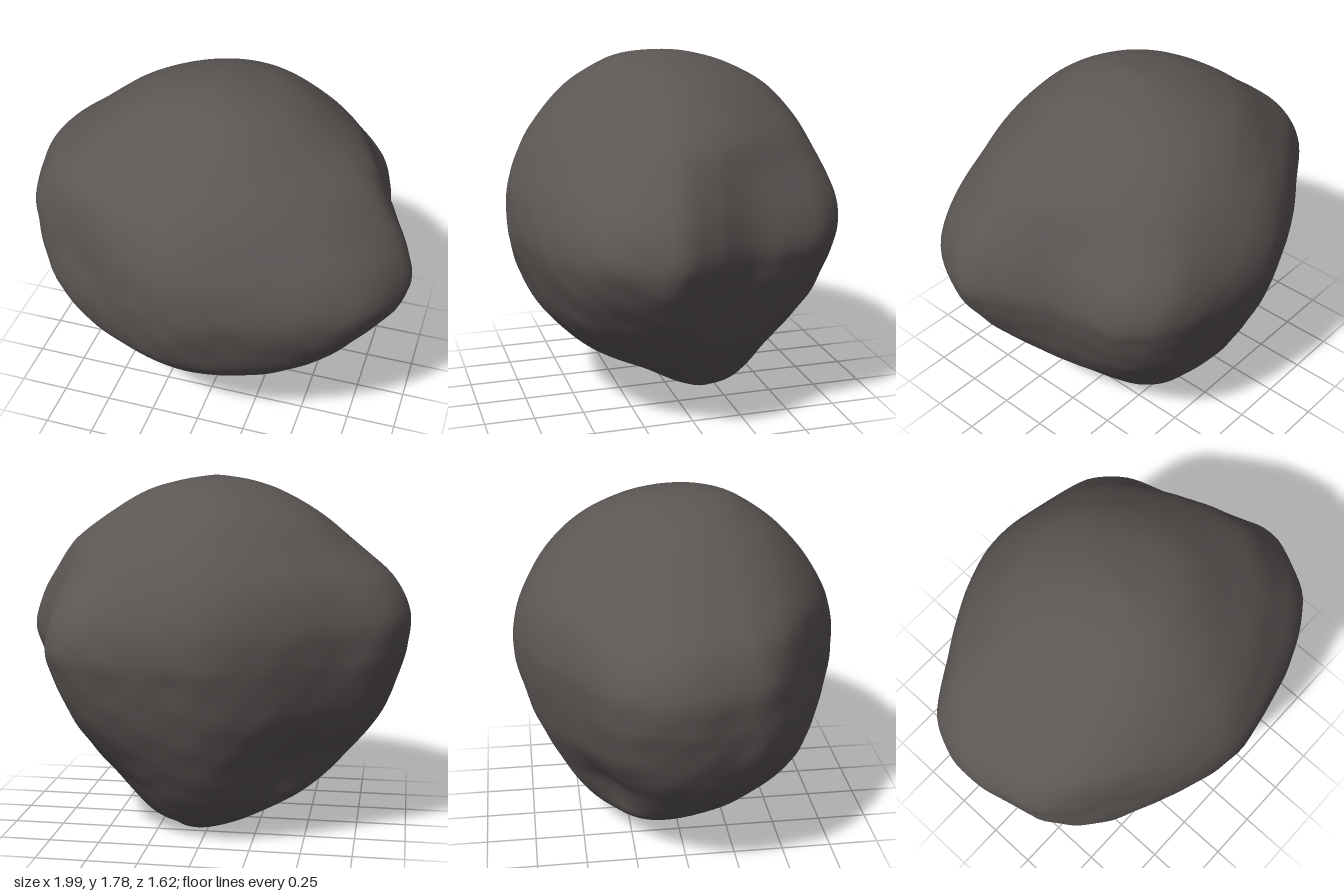
import * as THREE from 'three';

// Plan outline of the widest section (x, z), counterclockwise from above
const OUTLINE = [
  [-0.05, -0.815], [-0.345, -0.72], [-0.666, -0.524], [-0.88, -0.385], [-0.976, -0.214],
  [-1, -0.03], [-0.95, 0.19], [-0.906, 0.32], [-0.773, 0.465], [-0.505, 0.626],
  [-0.24, 0.76], [0, 0.815], [0.297, 0.77], [0.62, 0.67], [0.83, 0.535], [0.965, 0.33],
  [1, 0.2], [0.91, 0], [0.805, -0.19], [0.76, -0.374], [0.7, -0.56], [0.564, -0.7], [0.35, -0.765],
];

// Section extents by height: y, xMin, xMax, zMin, zMax
const LEVELS = [
  [0, 0.06, 0.06, -0.18, -0.18],
  [0.02, -0.06, 0.14, -0.26, -0.09],
  [0.05, -0.16, 0.20, -0.31, -0.02],
  [0.1, -0.27, 0.30, -0.39, 0.07],
  [0.2, -0.47, 0.42, -0.48, 0.25],
  [0.3, -0.61, 0.53, -0.55, 0.45],
  [0.4, -0.71, 0.64, -0.61, 0.57],
  [0.55, -0.83, 0.78, -0.685, 0.69],
  [0.7, -0.905, 0.885, -0.74, 0.755],
  [0.85, -0.955, 0.97, -0.78, 0.80],
  [0.97, -0.985, 1.0, -0.805, 0.815],
  [1.13, -0.99, 0.96, -0.795, 0.80],
  [1.3, -0.90, 0.86, -0.74, 0.735],
  [1.45, -0.72, 0.745, -0.65, 0.64],
  [1.6, -0.53, 0.53, -0.51, 0.50],
  [1.7, -0.35, 0.355, -0.33, 0.36],
  [1.75, -0.20, 0.19, -0.18, 0.255],
  [1.775, -0.06, 0.05, -0.05, 0.12],
  [1.78, 0, 0, 0.03, 0.03],
];

// Broad swellings and hollows: plan direction (degrees from +x to +z), height, amount
const SWELLS = [
  [135, 1.48, 0.05],
  [135, 1.15, -0.03],
  [135, 0.7, 0.05],
  [135, 0.15, -0.03],
  [-45, 1.5, -0.07],
  [-45, 1.08, 0.03],
  [-45, 0.65, 0.03],
  [45, 1.5, -0.05],
  [-135, 0.36, -0.18],
];

const SIDES = 128;
const RINGS = 108;

// Smooth curve through one pair of extents
function extentCurve(a, b) {
  return new THREE.CatmullRomCurve3(
    LEVELS.map((l) => new THREE.Vector3(l[0], l[a], l[b])), false, 'catmullrom', 0.5);
}

function swell(angle, y) {
  let sum = 0;
  for (const [degrees, height, amount] of SWELLS) {
    const turn = angle - THREE.MathUtils.degToRad(degrees);
    const da = Math.atan2(Math.sin(turn), Math.cos(turn)) / 0.45;
    const dy = (y - height) / 0.24;
    sum += amount * Math.exp(-da * da - dy * dy);
  }
  return sum;
}

// Gentle surface lumps, stronger on the underside
function lumps(x, y, z) {
  const broad = Math.sin(7 * x + 3 * y + 1) * Math.sin(6 * y - 4 * z) * Math.cos(7 * z + 2 * x);
  const fine = Math.sin(19 * x + 8 * z) * Math.sin(17 * y + 5 * x + 2) * Math.cos(18 * z - 6 * y);
  return 0.006 * broad + (0.006 - 0.003 * THREE.MathUtils.smoothstep(y, 0.8, 1.3)) * fine;
}

function rockGeometry() {
  const plan = new THREE.CatmullRomCurve3(
    OUTLINE.map(([x, z]) => new THREE.Vector3(x, 0, z / 0.815)), true)
    .getSpacedPoints(SIDES).slice(0, SIDES);
  const xs = extentCurve(1, 2);
  const zs = extentCurve(3, 4);
  const positions = [];
  const indices = [];

  for (let j = 0; j <= RINGS; j++) {
    const px = xs.getPoint(j / RINGS);
    const pz = zs.getPoint(j / RINGS);
    const y = px.x;
    // Sections become rounder towards the top and bottom
    const round = 0.85 * THREE.MathUtils.smoothstep(Math.abs(y - 0.95), 0, 0.78);
    for (const p of plan) {
      const angle = Math.atan2(p.z, p.x);
      const s = 1 + swell(angle, y);
      const u = s * THREE.MathUtils.lerp(p.x, Math.cos(angle), round);
      const v = s * THREE.MathUtils.lerp(p.z, Math.sin(angle), round);
      const x = (px.y + px.z) / 2 + u * (px.z - px.y) / 2;
      const z = (pz.y + pz.z) / 2 + v * (pz.z - pz.y) / 2;
      const fade = Math.min(1, (px.z - px.y) / 0.8);
      const k = 1 + lumps(x, y, z) * fade;
      positions.push(x * k, y, z * k);
    }
  }

  // Join neighbouring sections
  for (let j = 0; j < RINGS; j++) {
    for (let i = 0; i < SIDES; i++) {
      const a = j * SIDES + i;
      const b = j * SIDES + (i + 1) % SIDES;
      const c = b + SIDES, d = a + SIDES;
      if (j > 0) indices.push(a, b, d);
      if (j < RINGS - 1) indices.push(b, c, d);
    }
  }

  const geometry = new THREE.BufferGeometry();
  geometry.setAttribute('position', new THREE.Float32BufferAttribute(positions, 3));
  geometry.setIndex(indices);
  geometry.computeVertexNormals();
  return geometry;
}

export function createModel() {
  const group = new THREE.Group();
  group.name = 'boulder';
  const stone = new THREE.MeshStandardMaterial({ color: 0x5c5755 });
  stone.name = 'darkStone';
  const rock = new THREE.Mesh(rockGeometry(), stone);
  rock.name = 'rock';
  group.add(rock);
  return group;
}
